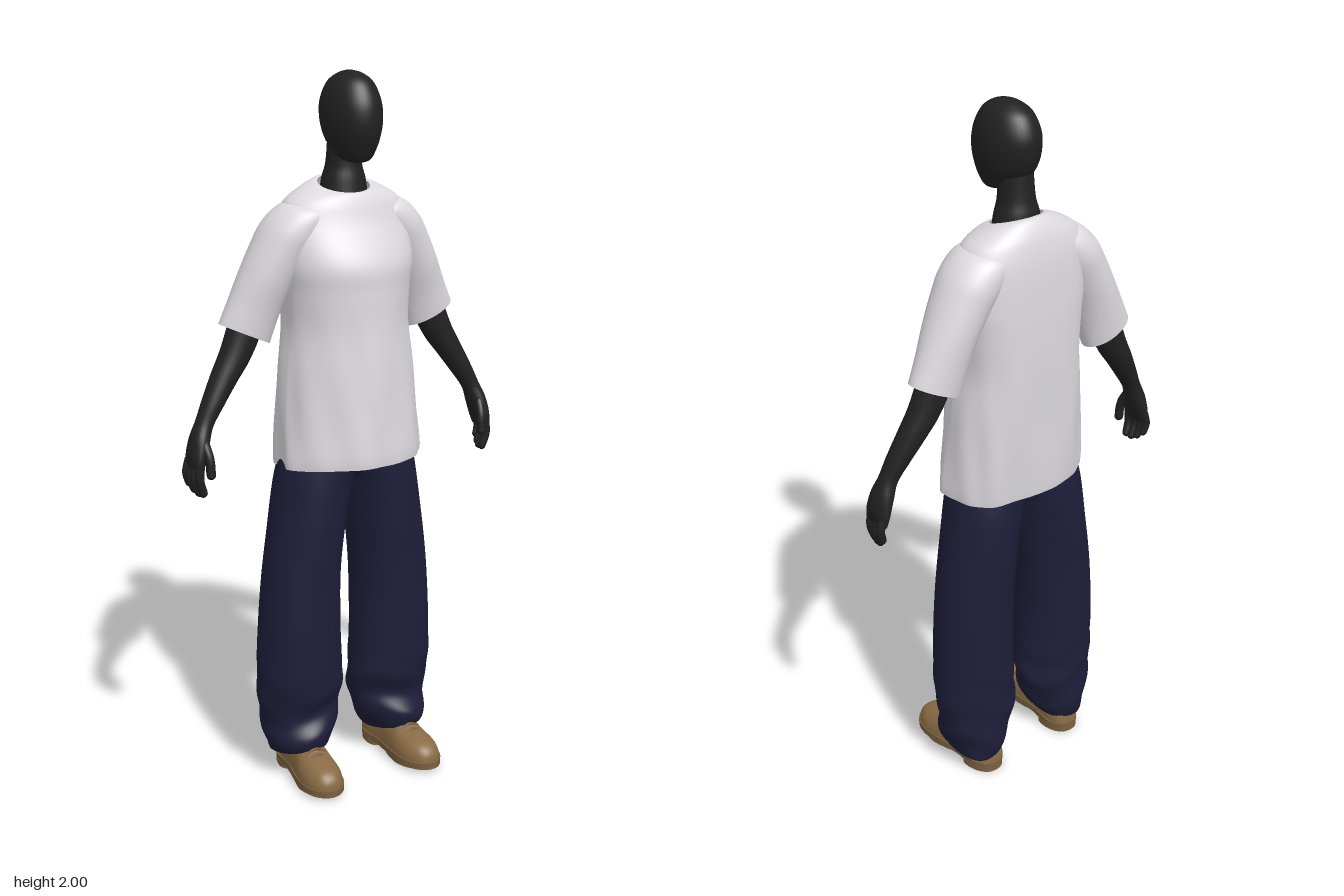
import * as THREE from 'three';

const mat = (name, color, side = THREE.FrontSide) => {
  const m = new THREE.MeshStandardMaterial({ color, side });
  m.name = name;
  return m;
};

// Smooth interpolation through rows of numbers
function sample(keys, t) {
  const f = t * (keys.length - 1), i = Math.min(Math.floor(f), keys.length - 2), u = f - i;
  const at = (n) => keys[Math.max(0, Math.min(keys.length - 1, n))];
  const [a, b, c, d] = [at(i - 1), at(i), at(i + 1), at(i + 2)];
  return b.map((_, n) => {
    const m0 = (c[n] - a[n]) / 2, m1 = (d[n] - b[n]) / 2, u2 = u * u, u3 = u2 * u;
    return (2 * u3 - 3 * u2 + 1) * b[n] + (u3 - 2 * u2 + u) * m0 + (3 * u2 - 2 * u3) * c[n] + (u3 - u2) * m1;
  });
}

// Skin a surface over cross-sections; point(key, angle) gives [x, y, z]
function loft(keys, point, { rows = 40, seg = 40, start = true, end = true } = {}) {
  const pos = [], idx = [];
  for (let i = 0; i <= rows; i++) {
    const k = sample(keys, i / rows);
    for (let j = 0; j < seg; j++) pos.push(...point(k, (j / seg) * Math.PI * 2));
  }
  const v = (i, j) => i * seg + (j % seg);
  for (let i = 0; i < rows; i++) for (let j = 0; j < seg; j++) {
    idx.push(v(i, j), v(i, j + 1), v(i + 1, j), v(i + 1, j), v(i, j + 1), v(i + 1, j + 1));
  }
  const cap = (row, flip) => {
    const c = [0, 0, 0], n = pos.length / 3;
    for (let j = 0; j < seg; j++) for (let q = 0; q < 3; q++) c[q] += pos[v(row, j) * 3 + q] / seg;
    pos.push(...c);
    for (let j = 0; j < seg; j++) idx.push(n, v(row, flip ? j + 1 : j), v(row, flip ? j : j + 1));
  };
  if (start) cap(0, true);
  if (end) cap(rows, false);
  const g = new THREE.BufferGeometry();
  g.setAttribute('position', new THREE.Float32BufferAttribute(pos, 3));
  g.setIndex(idx);
  g.computeVertexNormals();
  return g;
}

const pw = (v, n) => Math.sign(v) * Math.abs(v) ** (2 / n);

// Level section: [y, xMin, xMax, zBack, zFront, roundness, tilt, backRoundness], with optional folds
const level = (fold = () => 0) => ([y, x0, x1, z0, z1, n, tilt, nb = n], a) => {
  const f = 1 + fold(y, a), s = Math.sin(a), e = s < 0 ? nb : n;
  const z = (z0 + z1) / 2 + pw(s, e) * (z1 - z0) / 2 * f;
  return [(x0 + x1) / 2 + pw(Math.cos(a), e) * (x1 - x0) / 2 * f, y + tilt * z, z];
};
// Section across a slanted limb: [x, y, z, radius, zRadius]
const limb = ([x, y, z, r, rz], a) =>
  [x + Math.cos(a) * r * 0.91, y + Math.cos(a) * r * 0.41, z + Math.sin(a) * rz];
// Symmetric level rows: [y, halfWidth, zBack, zFront, roundness, tilt, backRoundness]
const sym = (rows) => rows.map(([y, w, z0, z1, n = 2, t = 0, nb = n]) => [y, -w, w, z0, z1, n, t, nb]);

export function createModel() {
  const body = mat('black body', 0x212121);
  const white = mat('off-white cotton', 0xdcdadf, THREE.DoubleSide);
  const denim = mat('navy cloth', 0x1d1d39, THREE.DoubleSide);
  const leather = mat('tan leather', 0x8a6c45);
  const soleMat = mat('brown sole', 0x7b603e);
  const model = new THREE.Group();
  model.name = 'figure';
  const add = (parent, name, geo, m) => {
    const mesh = new THREE.Mesh(geo, m);
    mesh.name = name;
    parent.add(mesh);
    return mesh;
  };

  // Head and neck
  add(model, 'head', loft(sym([
    [2.0, 0.006, -0.03, -0.015], [1.992, 0.03, -0.062, 0.025], [1.968, 0.057, -0.098, 0.06],
    [1.92, 0.075, -0.12, 0.084], [1.87, 0.077, -0.118, 0.089], [1.825, 0.068, -0.1, 0.081],
    [1.79, 0.053, -0.065, 0.066], [1.77, 0.036, -0.025, 0.053], [1.763, 0.01, 0.01, 0.036],
  ]), level()), body);
  add(model, 'neck', loft(sym([
    [1.85, 0.046, -0.095, 0.0], [1.76, 0.049, -0.104, -0.006], [1.71, 0.062, -0.114, 0.0], [1.62, 0.075, -0.12, 0.01],
  ]), level(), { rows: 16, seg: 28 }), body);

  // Loose shirt body, open at collar and hem
  const shirtFold = (y, a) => {
    const low = THREE.MathUtils.smoothstep(1.6 - y, 0.1, 0.6);
    return low * (0.016 * Math.sin(7 * a + y * 8) + 0.011 * Math.sin(11 * a - y * 13));
  };
  add(model, 'shirtBody', loft(sym([
    [1.684, 0.074, -0.117, 0.006, 2, -0.3], [1.685, 0.09, -0.132, 0.014, 2.1, -0.25],
    [1.674, 0.135, -0.15, 0.022, 2.1, -0.12], [1.65, 0.172, -0.162, 0.032, 2.1, -0.05, 2.3],
    [1.6, 0.19, -0.172, 0.05, 2.1, 0, 2.6], [1.5, 0.192, -0.178, 0.1, 2, 0, 2.9],
    [1.42, 0.182, -0.18, 0.106, 1.95, 0, 3], [1.32, 0.178, -0.18, 0.111, 1.85, 0, 3],
    [1.2, 0.194, -0.177, 0.122, 1.75, 0, 2.9], [1.06, 0.207, -0.172, 0.132, 1.7, 0.03, 2.8],
    [0.97, 0.214, -0.166, 0.138, 1.7, 0.06, 2.8], [0.938, 0.214, -0.163, 0.137, 1.7, 0.06, 2.8],
  ]), level(shirtFold), { rows: 66, seg: 80, start: false, end: false }), white);

  // Sleeve, arm and hand, made once for each side
  const makeArm = (name) => {
    const arm = new THREE.Group();
    arm.name = name;
    add(arm, 'sleeve', loft([
      [0.075, 1.642, -0.066, 0.048, 0.065], [0.115, 1.624, -0.067, 0.07, 0.087], [0.158, 1.578, -0.07, 0.079, 0.092],
      [0.197, 1.52, -0.073, 0.076, 0.084], [0.235, 1.45, -0.077, 0.073, 0.074],
      [0.265, 1.38, -0.082, 0.075, 0.062], [0.292, 1.312, -0.085, 0.079, 0.054],
    ], limb, { end: false }), white);
    add(arm, 'arm', loft([
      [0.26, 1.42, -0.085, 0.05, 0.045], [0.295, 1.32, -0.083, 0.048, 0.042], [0.325, 1.255, -0.08, 0.043, 0.04],
      [0.36, 1.2, -0.075, 0.037, 0.037], [0.4, 1.135, -0.066, 0.03, 0.032], [0.428, 1.085, -0.06, 0.025, 0.028],
      [0.446, 1.04, -0.056, 0.027, 0.038], [0.459, 0.995, -0.054, 0.023, 0.044], [0.464, 0.965, -0.053, 0.015, 0.042],
    ], limb, { seg: 24 }), body);
    // Fingers front to back, then the thumb
    const fingers = [
      [[0.458, 0.99, -0.022], [0.463, 0.94, -0.022], [0.452, 0.902, -0.026]],
      [[0.463, 0.985, -0.043], [0.468, 0.935, -0.043], [0.455, 0.9, -0.044]],
      [[0.465, 0.985, -0.063], [0.472, 0.938, -0.063], [0.461, 0.907, -0.061]],
      [[0.465, 0.99, -0.081], [0.474, 0.95, -0.082], [0.468, 0.922, -0.078]],
      [[0.442, 1.045, -0.035], [0.437, 1.0, -0.012], [0.435, 0.955, -0.008]],
    ];
    fingers.forEach((pts, i) => {
      const p = pts.map((q) => new THREE.Vector3(...q));
      const part = i === 4 ? 'thumb' : 'finger', r = i === 4 ? 0.013 : 0.0125;
      add(arm, part, new THREE.TubeGeometry(new THREE.CatmullRomCurve3(p), 10, r, 10), body);
      add(arm, part + 'Tip', new THREE.SphereGeometry(r, 10, 8), body).position.copy(p[2]);
    });
    model.add(arm);
    return arm;
  };
  makeArm('leftArm');
  makeArm('rightArm').scale.x = -1;

  // Wide trousers: hips and two legs with gathered hems
  const lower = new THREE.Group();
  lower.name = 'lowerBody';
  lower.position.x = -0.008;
  model.add(lower);
  add(lower, 'trouserHips', loft(sym([
    [1.02, 0.175, -0.13, 0.07, 2.2], [0.95, 0.19, -0.138, 0.07, 2.2], [0.92, 0.15, -0.13, 0.056, 2.2], [0.9, 0.08, -0.11, 0.035, 2.2],
  ]), level(), { rows: 14, seg: 48 }), denim);
  const legFold = (y, a) => {
    const low = 1 - THREE.MathUtils.smoothstep(y, 0.15, 0.42);
    const top = THREE.MathUtils.smoothstep(0.95 - y, 0, 0.25);
    return 0.012 * top * Math.sin(4 * a + y * 9) + low * 0.03 * Math.sin(y * 58 + 2 * Math.sin(a * 2));
  };
  const legKeys = [
    [1.0, -0.035, 0.19, -0.136, 0.075, 2, 0], [0.94, -0.03, 0.205, -0.146, 0.079, 2, 0],
    [0.87, -0.006, 0.219, -0.153, 0.079, 1.95, 0], [0.75, 0.012, 0.238, -0.155, 0.077, 1.9, 0],
    [0.6, 0.027, 0.258, -0.154, 0.072, 1.9, 0], [0.42, 0.027, 0.273, -0.152, 0.07, 1.9, 0],
    [0.28, 0.021, 0.276, -0.15, 0.066, 1.95, 0], [0.2, 0.026, 0.268, -0.15, 0.045, 2, 0.05],
    [0.13, 0.05, 0.257, -0.148, 0.068, 2, 0.15], [0.085, 0.08, 0.24, -0.14, 0.066, 2, 0.25],
    [0.078, 0.1, 0.222, -0.125, 0.045, 2, 0.25],
  ];

  // Rounded slab following [z, halfWidth] rows
  const soleSlab = (rows, top, depth) => {
    const side = rows.map(([z, w]) => new THREE.Vector3(w, z, 0));
    const other = rows.map(([z, w]) => new THREE.Vector3(-w, z, 0)).reverse();
    const curve = new THREE.CatmullRomCurve3([...side, ...other], true);
    const shape = new THREE.Shape(curve.getPoints(60).slice(0, -1).map((p) => new THREE.Vector2(p.x, p.y)));
    const g = new THREE.ExtrudeGeometry(shape, { depth, bevelEnabled: false });
    return g.rotateX(Math.PI / 2).translate(0, top, 0);
  };
  // Shoe section: [z, halfWidth, height]
  const shoePoint = ([z, w, h], a) => {
    const s = Math.sin(a);
    return [pw(Math.cos(a), 2.4) * w, 0.028 + (s > 0 ? pw(s, 2.2) * h : s * 0.004), z];
  };

  const makeLeg = (name) => {
    const leg = new THREE.Group();
    leg.name = name;
    add(leg, 'trouserLeg', loft(legKeys, level(legFold), { rows: 80, seg: 48 }), denim);
    const shoe = new THREE.Group();
    shoe.name = 'shoe';
    shoe.position.x = 0.154;
    shoe.rotation.y = 0.07;
    add(shoe, 'shoeUpper', loft([
      [-0.137, 0.02, 0.025], [-0.127, 0.038, 0.06], [-0.09, 0.048, 0.085], [-0.02, 0.048, 0.095], [0.04, 0.054, 0.087],
      [0.08, 0.059, 0.069], [0.125, 0.057, 0.058], [0.16, 0.043, 0.047], [0.179, 0.025, 0.028], [0.184, 0.008, 0.008],
    ], shoePoint, { rows: 36, seg: 32 }), leather);
    add(shoe, 'sole', soleSlab([[-0.14, 0.022], [-0.1, 0.051], [-0.02, 0.05], [0.06, 0.06], [0.12, 0.061], [0.165, 0.044], [0.188, 0.015]], 0.031, 0.019), soleMat);
    add(shoe, 'heel', soleSlab([[-0.139, 0.022], [-0.1, 0.05], [-0.045, 0.047]], 0.014, 0.014), soleMat);
    add(shoe, 'treadPad', soleSlab([[0.0, 0.035], [0.05, 0.055], [0.1, 0.057], [0.14, 0.035]], 0.014, 0.012), soleMat);
    // Laces over the instep
    for (const [z, y] of [[0.05, 0.113], [0.068, 0.105], [0.086, 0.095]]) {
      const pts = [[-0.032, y - 0.013, z], [0, y + 0.002, z], [0.032, y - 0.013, z]].map((p) => new THREE.Vector3(...p));
      add(shoe, 'lace', new THREE.TubeGeometry(new THREE.CatmullRomCurve3(pts), 10, 0.004, 6), soleMat);
    }
    leg.add(shoe);
    lower.add(leg);
    return leg;
  };
  makeLeg('leftLeg');
  makeLeg('rightLeg').scale.x = -1;

  return model;
}
